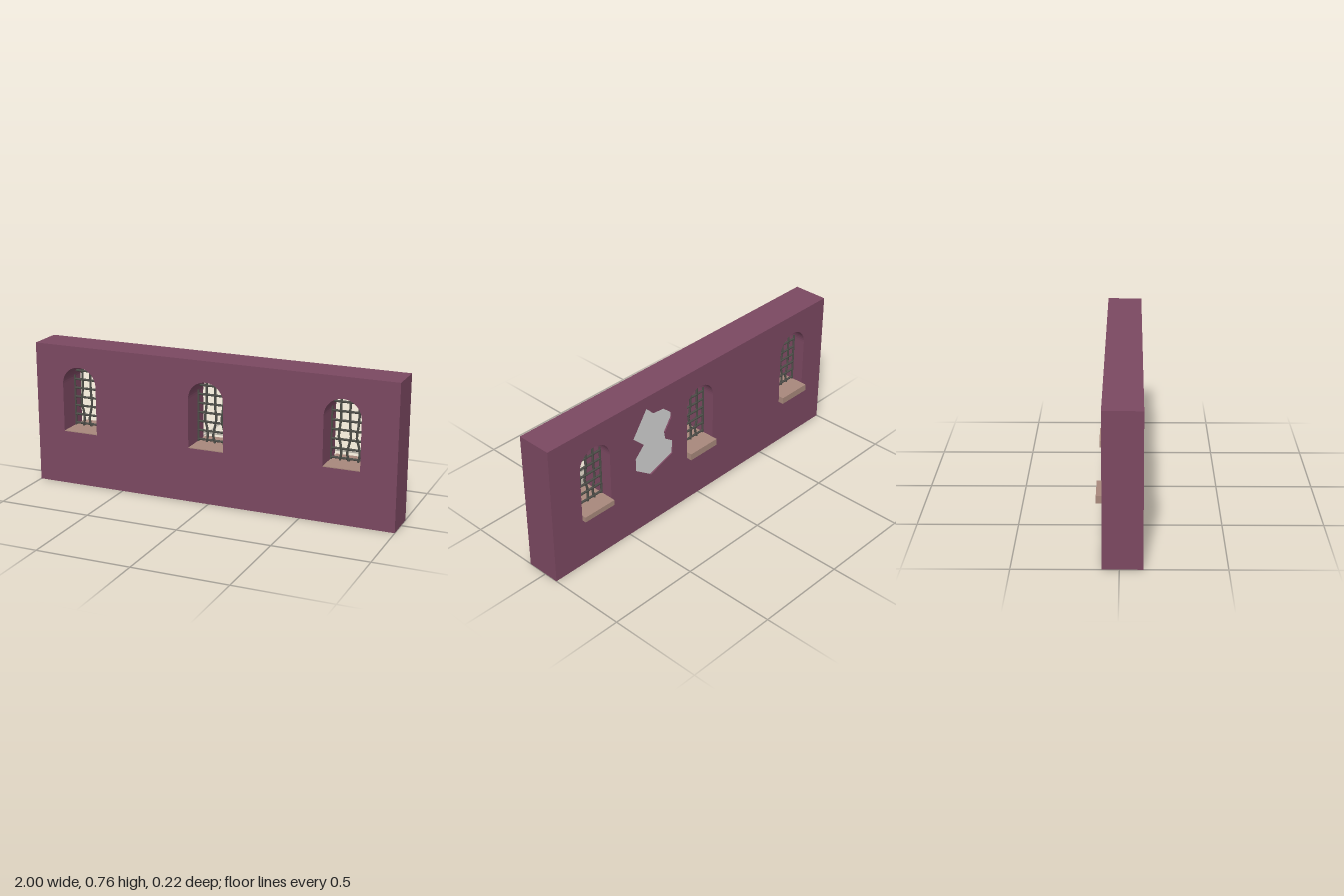
import * as THREE from 'three';

const mat = (name, color, side = THREE.FrontSide) => {
  const m = new THREE.MeshStandardMaterial({ color, side });
  m.name = name;
  return m;
};

const HEIGHT = 0.765, FRONT = 0.11, BACK = -0.08, RECESS = 0.01;
const WIN_R = 0.0975, WIN_BASE = 0.292, SPRING = 0.555, BAR_Z = -0.012;

// Outline of the broken plaster patch on the back
const PATCH = [
  [0.366, 0.70], [0.32, 0.652], [0.25, 0.645], [0.193, 0.596], [0.193, 0.568],
  [0.239, 0.50], [0.232, 0.455], [0.182, 0.42], [0.187, 0.347], [0.343, 0.293],
  [0.447, 0.367], [0.447, 0.44], [0.39, 0.498], [0.459, 0.565],
].map(([x, y]) => new THREE.Vector2(x, y));

// Arched window opening
function archHole(cx) {
  const p = new THREE.Path();
  p.moveTo(cx - WIN_R, WIN_BASE);
  p.lineTo(cx + WIN_R, WIN_BASE);
  p.lineTo(cx + WIN_R, SPRING);
  p.absarc(cx, SPRING, WIN_R, 0, Math.PI, false);
  p.closePath();
  return p;
}

// Slab of wall between two depths, with openings cut through
function wallLayer(z0, z1, holes) {
  const s = new THREE.Shape();
  s.moveTo(-1, 0);
  s.lineTo(1, 0);
  s.lineTo(1, HEIGHT);
  s.lineTo(-1, HEIGHT);
  s.closePath();
  s.holes.push(...holes);
  const g = new THREE.ExtrudeGeometry(s, { depth: z1 - z0, bevelEnabled: false, curveSegments: 12 });
  return g.translate(0, 0, z0);
}

function bar(points, material, name) {
  const curve = new THREE.CatmullRomCurve3(points);
  const mesh = new THREE.Mesh(new THREE.TubeGeometry(curve, points.length > 2 ? 16 : 1, 0.0062, 6), material);
  mesh.name = name;
  return mesh;
}

// Iron grille, its middle bars bent in the lower half
function makeGrille(material) {
  const grille = new THREE.Group();
  grille.name = 'grille';
  const bends = [0, 0.008, -0.009, 0.009, 0];
  for (let i = 0; i < 5; i++) {
    const x = (i - 2) * 0.0475;
    const top = SPRING + Math.sqrt(Math.max(0, WIN_R * WIN_R - x * x));
    const pts = [];
    for (let k = 0; k <= 8; k++) {
      const y = WIN_BASE + (top - WIN_BASE) * k / 8;
      const t = (y - WIN_BASE) / 0.19;
      const b = t < 1 ? bends[i] * Math.sin(t * Math.PI * 2) : 0;
      pts.push(new THREE.Vector3(x + b, y, BAR_Z + Math.abs(b) * 0.5));
    }
    grille.add(bar(pts, material, 'verticalBar'));
  }
  for (let i = 0; i < 7; i++) {
    const y = 0.308 + i * 0.049;
    const dy = Math.max(0, y - SPRING);
    const w = Math.sqrt(WIN_R * WIN_R - dy * dy);
    grille.add(bar([new THREE.Vector3(-w, y, BAR_Z), new THREE.Vector3(w, y, BAR_Z)], material, 'horizontalBar'));
  }
  return grille;
}

export function createModel() {
  const model = new THREE.Group();
  model.name = 'barredWindowWall';
  const plaster = mat('plumPlaster', 0x7b4861);
  const stone = mat('sillStone', 0xa8887c);
  const iron = mat('darkIron', 0x4f4f4a);
  const grey = mat('barePatchGrey', 0xd2d2d2);

  const add = (geometry, material, name) => {
    const m = new THREE.Mesh(geometry, material);
    m.name = name;
    model.add(m);
    return m;
  };

  // Wall core and thin back skin with the patch broken out of it
  const centres = [-0.745, -0.015, 0.715];
  const holes = centres.map(archHole);
  add(wallLayer(BACK + RECESS, FRONT, holes), plaster, 'wallCore');
  add(wallLayer(BACK, BACK + RECESS, [...holes, new THREE.Path(PATCH)]), plaster, 'backPlaster');

  // Exposed grey patch at the bottom of the recess
  const patch = new THREE.ExtrudeGeometry(new THREE.Shape(PATCH), { depth: 0.002, bevelEnabled: false });
  add(patch.translate(0, 0, BACK + RECESS - 0.002), grey, 'exposedPatch');

  // Sills run through the wall and stick out at the back
  centres.forEach((cx, i) => {
    const back = i === 2 ? -0.102 : -0.11;
    const bottom = i === 2 ? 0.267 : 0.259;
    const front = FRONT - 0.001;
    const sill = add(new THREE.BoxGeometry(WIN_R * 2 - 0.002, 0.296 - bottom, front - back), stone, 'windowSill');
    sill.position.set(cx, (0.296 + bottom) / 2, (front + back) / 2);

    const grille = makeGrille(iron);
    grille.position.x = cx;
    model.add(grille);
  });

  return model;
}
